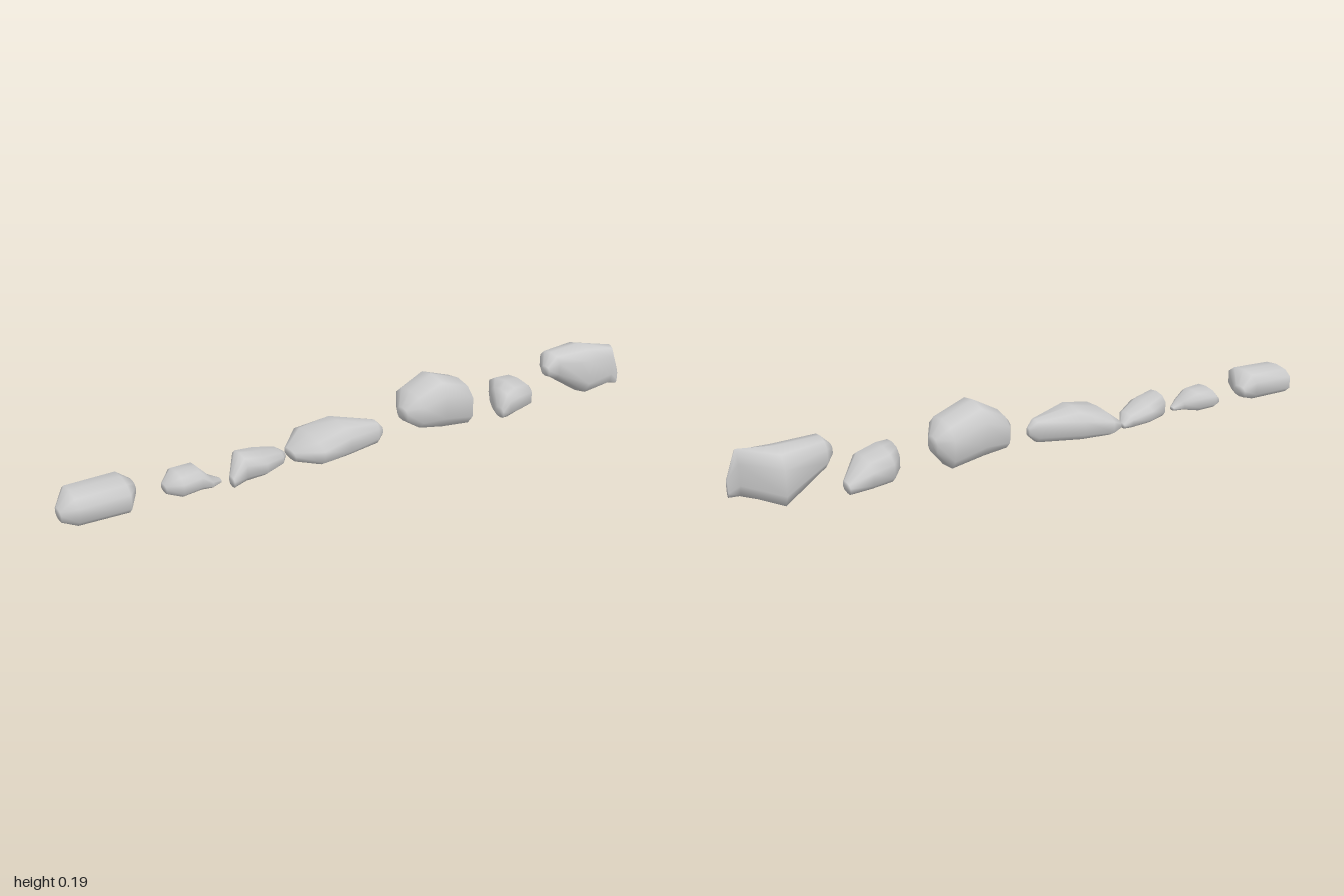
import * as THREE from 'three';

const SIDES = 10;
const TIP_SCALE = 0.38;

// Rounded-square curve keeps the rocks chunky
const chunky = (v) => Math.sign(v) * Math.pow(Math.abs(v), 0.68);

// Ring of corners across x, given its centre and half sizes
function ring(x, y, z, halfY, halfZ) {
  const points = [];
  for (let i = 0; i < SIDES; i++) {
    const a = (i / SIDES) * Math.PI * 2 + Math.PI / 2;
    const up = chunky(Math.sin(a));
    // flanks narrow a little towards the crown
    const side = chunky(Math.cos(a)) * (up > 0.5 ? 0.88 : 1);
    points.push(x, y + up * halfY, z + side * halfZ);
  }
  return points;
}

// Skins a rock between two tips [x, y, z] through sections [x, zBack, zFront, top, bottom]
function rockGeometry(startTip, sections, endTip) {
  const bodies = sections.map(([x, z0, z1, top, bottom = 0.008]) =>
    [x, (top + bottom) / 2, (z0 + z1) / 2, (top - bottom) / 2, (z1 - z0) / 2]);
  // each tip is a shrunken copy of its neighbouring section
  const tipRing = (tip, body) => [...tip, body[3] * TIP_SCALE, body[4] * TIP_SCALE];
  const rings = [tipRing(startTip, bodies[0]), ...bodies, tipRing(endTip, bodies.at(-1))];
  const positions = rings.flatMap((r) => ring(...r));
  const startCentre = positions.length / 3;
  positions.push(...startTip, ...endTip);

  const index = [];
  const lastRing = (rings.length - 1) * SIDES;
  for (let i = 0; i < SIDES; i++) {
    const j = (i + 1) % SIDES;
    for (let s = 0; s < lastRing; s += SIDES) {
      const a = s + i, b = s + j;
      index.push(a, a + SIDES, b, b, a + SIDES, b + SIDES);
    }
    index.push(startCentre, i, j, startCentre + 1, lastRing + j, lastRing + i);
  }
  const geometry = new THREE.BufferGeometry();
  geometry.setAttribute('position', new THREE.Float32BufferAttribute(positions, 3));
  geometry.setIndex(index);
  geometry.computeVertexNormals();
  return geometry;
}

export function createModel() {
  const stone = new THREE.MeshStandardMaterial({ color: 0xcccccc });
  stone.name = 'stone grey';
  const group = new THREE.Group();
  group.name = 'rockRow';

  const addRock = (name, startTip, sections, endTip) => {
    const rock = new THREE.Mesh(rockGeometry(startTip, sections, endTip), stone);
    rock.name = name;
    group.add(rock);
  };

  addRock('blockRock', [-1, 0.04, 0.01],
    [[-0.96, -0.08, 0.078, 0.1], [-0.81, -0.08, 0.08, 0.105]],
    [-0.765, 0.045, -0.04]);

  addRock('smallRock', [-0.68, 0.025, -0.012],
    [[-0.645, -0.065, 0.062, 0.075], [-0.58, -0.065, 0.047, 0.075], [-0.545, -0.02, 0.04, 0.04]],
    [-0.51, 0.015, 0.005]);

  addRock('flatRock', [-0.49, 0.022, 0.048],
    [[-0.445, -0.045, 0.065, 0.09], [-0.375, -0.072, 0.06, 0.073], [-0.3, -0.07, 0.015, 0.052]],
    [-0.27, 0.02, -0.047]);

  addRock('longRock', [-0.26, 0.026, -0.02],
    [[-0.2, -0.11, 0.1, 0.088], [-0.1, -0.095, 0.085, 0.11], [0.03, -0.025, 0.035, 0.085]],
    [0.053, 0.045, 0.008]);

  addRock('peakedRock', [0.13, 0.085, 0.015],
    [[0.17, -0.09, 0.08, 0.15, 0.035], [0.25, -0.093, 0.095, 0.195, 0.022], [0.36, -0.1, 0.085, 0.155]],
    [0.4, 0.085, -0.025]);

  addRock('roundRock', [0.48, 0.032, 0.07],
    [[0.505, -0.02, 0.097, 0.098], [0.55, -0.088, 0.09, 0.105], [0.62, -0.1, 0.065, 0.095]],
    [0.69, 0.028, -0.06]);

  addRock('tallRock', [0.7, 0.12, 0.03],
    [[0.735, -0.045, 0.065, 0.175, 0.085], [0.87, -0.08, 0.072, 0.178, 0], [0.97, 0.025, 0.07, 0.17, 0.025]],
    [1, 0.05, 0.058]);

  return group;
}
